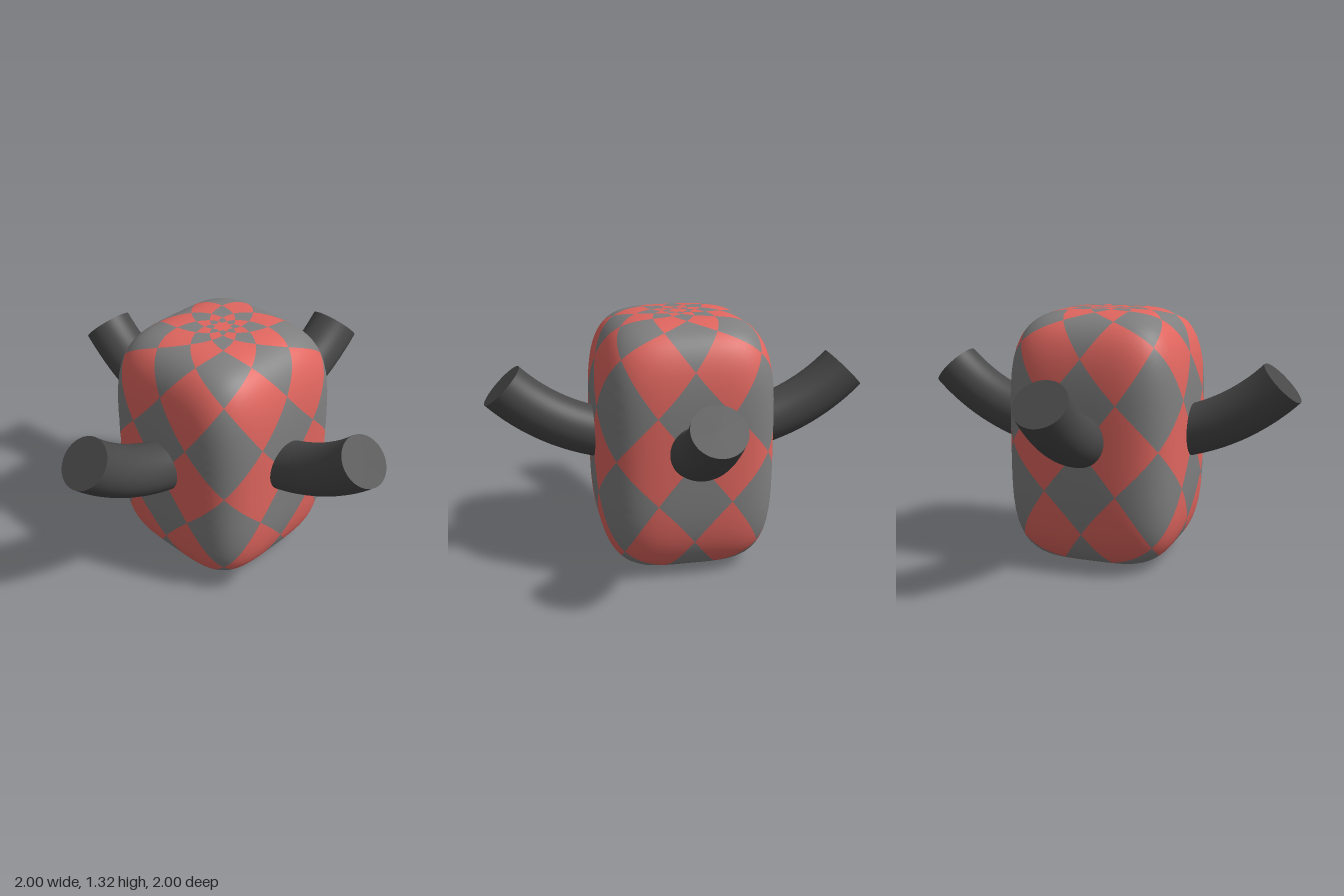
import * as THREE from 'three';

const HALF = 0.457, TALL = 0.658, MID = 0.662; // body half width, half height, centre height
const STEP = Math.PI / 8;                      // azimuth per pattern column
const RISE = 0.45;                             // stretched latitude per pattern row
const LAST = 8;                                // row where the polar caps begin
const DIV = 8;                                 // subdivisions along a diamond's edge

// Point on the rounded-box body (fourth-power ellipsoid) along a direction
function bodyPoint(dx, dy, dz) {
  const sum = (dx / HALF) ** 4 + (dy / TALL) ** 4 + (dz / HALF) ** 4;
  return new THREE.Vector3(dx, dy, dz).multiplyScalar(sum ** -0.25);
}

// Pattern coordinates (column, row) to a point on the body
function patternPoint(col, row) {
  const t = col * STEP;
  return bodyPoint(Math.sin(t), Math.sinh(row * RISE), Math.cos(t));
}

// Collects triangles with exact smooth normals
function surface() {
  const pos = [], nor = [];
  return {
    tri(...points) {
      for (const p of points) {
        const n = new THREE.Vector3(p.x ** 3 / HALF ** 4, p.y ** 3 / TALL ** 4, p.z ** 3 / HALF ** 4).normalize();
        pos.push(p.x, p.y + MID, p.z);
        nor.push(n.x, n.y, n.z);
      }
    },
    build() {
      const g = new THREE.BufferGeometry();
      g.setAttribute('position', new THREE.Float32BufferAttribute(pos, 3));
      g.setAttribute('normal', new THREE.Float32BufferAttribute(nor, 3));
      return g;
    },
  };
}

// One curved diamond centred at (col, row)
function addDiamond(s, col, row) {
  const at = (i, j) => {
    const a = i / DIV - 0.5, b = j / DIV - 0.5;
    return patternPoint(col + a + b, row + a - b);
  };
  for (let i = 0; i < DIV; i++) {
    for (let j = 0; j < DIV; j++) {
      const p = at(i, j), q = at(i, j + 1), r = at(i + 1, j + 1), t = at(i + 1, j);
      s.tri(p, q, r);
      s.tri(p, r, t);
    }
  }
}

// Small star-shaped caps that close the poles
function addCaps(s) {
  const rowAt = (c) => (c % 2 ? LAST - 1 : LAST);
  for (let c = 0; c < 16; c++) {
    const d = c + 1;
    s.tri(patternPoint(c, rowAt(c)), patternPoint(d, rowAt(d)), bodyPoint(0, 1, 0));
    s.tri(patternPoint(d, -rowAt(d)), patternPoint(c, -rowAt(c)), bodyPoint(0, -1, 0));
  }
}

export function createModel() {
  const model = new THREE.Group();
  const material = (name, color) => new THREE.MeshStandardMaterial({ name, color });
  const red = material('red', 0xe0665f);
  const grey = material('grey', 0x7f7f7f);
  const dark = material('dark grey', 0x484848);

  // Body: alternating columns of grey and red diamonds
  const greyCells = surface(), redCells = surface();
  for (let row = 1 - LAST; row < LAST; row++) {
    const odd = Math.abs(row) % 2 === 1;
    for (let k = 0; k < 8; k++) addDiamond(odd ? greyCells : redCells, 2 * k + (odd ? 0 : 1), row);
  }
  addCaps(redCells);

  const body = new THREE.Group();
  body.name = 'body';
  for (const [name, cells, mat] of [['greyDiamonds', greyCells, grey], ['redDiamonds', redCells, red]]) {
    const mesh = new THREE.Mesh(cells.build(), mat);
    mesh.name = name;
    body.add(mesh);
  }
  model.add(body);

  // Arms: four upward-curving tubes with flat ends
  const bend = 1.044, radius = 0.131, cx = 0.17, cy = 1.71;
  const tube = new THREE.TorusGeometry(bend, radius, 40, 28, Math.PI / 4)
    .rotateZ(-Math.PI / 2).translate(cx, cy, 0);
  const end = new THREE.CircleGeometry(radius, 40).rotateY(Math.PI / 2).rotateZ(Math.PI / 4)
    .translate(cx + bend * Math.SQRT1_2, cy - bend * Math.SQRT1_2, 0);
  ['leftArm', 'backArm', 'rightArm', 'frontArm'].forEach((name, i) => {
    const arm = new THREE.Group();
    arm.name = name;
    const tubeMesh = new THREE.Mesh(tube, dark);
    tubeMesh.name = 'armTube';
    const endMesh = new THREE.Mesh(end, dark);
    endMesh.name = 'armEnd';
    arm.add(tubeMesh, endMesh);
    arm.rotation.y = i * Math.PI / 2;
    model.add(arm);
  });

  return model;
}
